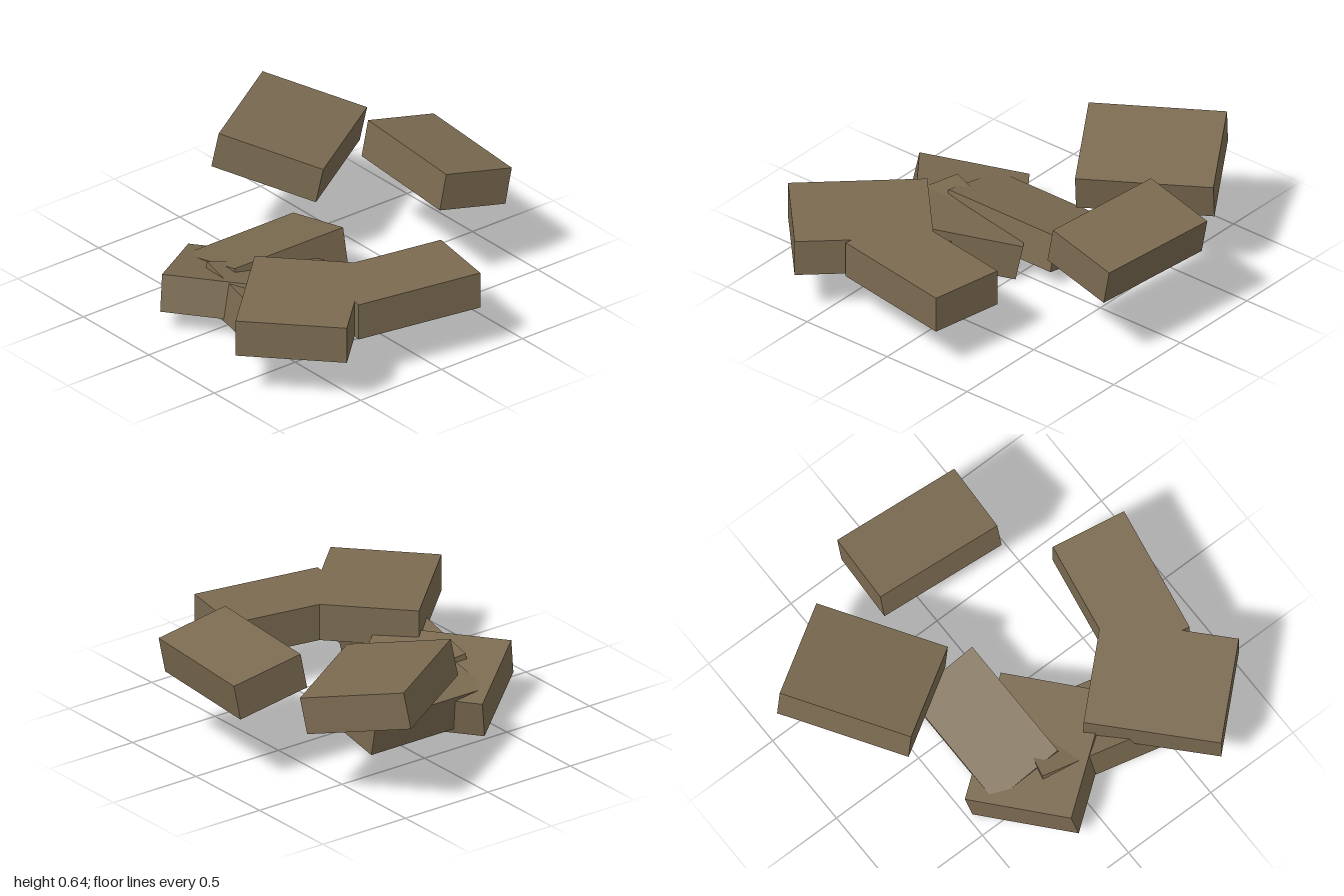
import * as THREE from 'three';

export function createModel() {
  const model = new THREE.Group();
  const brown = new THREE.MeshStandardMaterial({ color: 0x7a6a50 });
  brown.name = 'earthBrown';

  const LENGTH = 0.67, HEIGHT = 0.188, WIDE = 0.54, NARROW = 0.388;

  // One slab: turned about y, then tilted so its local +z side is raised
  function addSlab(name, width, [x, y, z], turn, tilt) {
    const slab = new THREE.Mesh(new THREE.BoxGeometry(LENGTH, HEIGHT, width), brown);
    slab.name = name;
    slab.position.set(x, y, z);
    slab.rotation.set(-tilt, turn, 0, 'YXZ');
    model.add(slab);
  }

  // Lower pile
  addSlab('lowerWideSlab', WIDE, [-0.057, 0.147, 0.378], 0.65, 0.2);
  addSlab('lowerBackSlab', NARROW, [-0.183, 0.154, 0.125], Math.PI / 2, 0.2);
  addSlab('lowerFrontSlab', NARROW, [0.216, 0.154, 0.431], -0.237, 0.2);

  // Level middle pair
  addSlab('middleWideSlab', WIDE, [0.57, 0.325, 0.522], 2.324, 0);
  addSlab('middleNarrowSlab', NARROW, [0.712, 0.325, 0.025], 1.4, 0);

  // Raised upper pair
  addSlab('upperWideSlab', WIDE, [-0.58, 0.5, -0.337], -1.0, 0.2);
  addSlab('upperNarrowSlab', NARROW, [0.067, 0.501, -0.725], -0.085, 0.2);

  return model;
}
